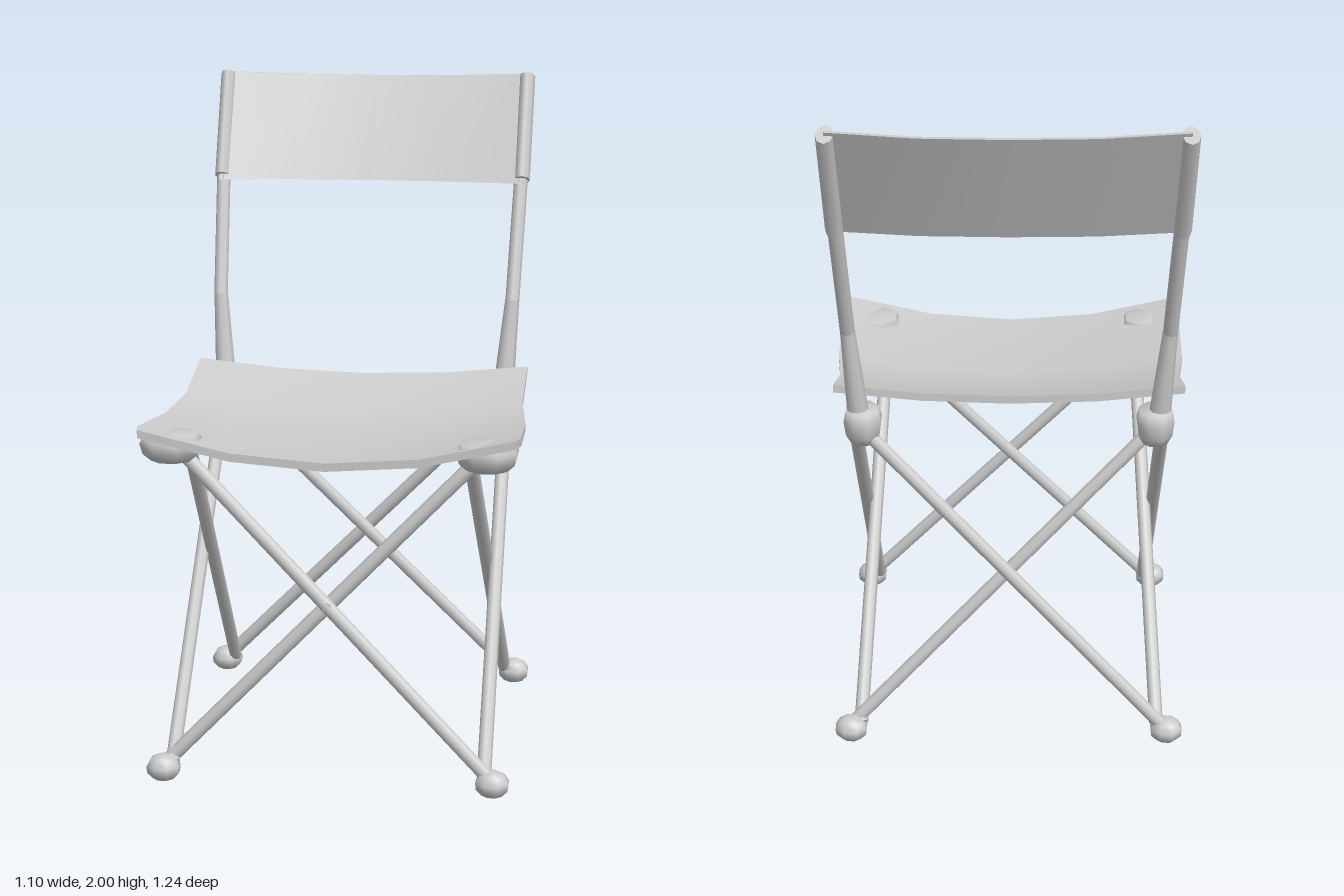
import * as THREE from 'three';

const material = new THREE.MeshStandardMaterial({ color: 0xcccccc, side: THREE.DoubleSide });
const V = (x, y, z) => new THREE.Vector3(x, y, z);

function add(parent, name, geometry) {
  const mesh = new THREE.Mesh(geometry, material);
  mesh.name = name;
  parent.add(mesh);
  return mesh;
}

// straight round tube between two points
function rod(parent, name, a, b, r0 = 0.021, r1 = r0) {
  const dir = b.clone().sub(a);
  const mesh = add(parent, name, new THREE.CylinderGeometry(r1, r0, dir.length(), 8));
  mesh.position.copy(a).add(b).multiplyScalar(0.5);
  mesh.quaternion.setFromUnitVectors(V(0, 1, 0), dir.normalize());
  return mesh;
}

// low-poly rounded lump, optionally flattened; profile is [radius, height] pairs
function lump(parent, name, center, size, profile) {
  const points = profile.map(([r, y]) => new THREE.Vector2(r, y));
  const mesh = add(parent, name, new THREE.LatheGeometry(points, 8, Math.PI / 8));
  mesh.scale.set(...size);
  mesh.position.copy(center);
  return mesh;
}

// box whose vertices are moved by a rule
function warpedBox(parent, name, segments, rule) {
  const geometry = new THREE.BoxGeometry(2, 2, 2, ...segments);
  const p = geometry.attributes.position;
  for (let i = 0; i < p.count; i++) p.setXYZ(i, ...rule(p.getX(i), p.getY(i), p.getZ(i)));
  geometry.computeVertexNormals();
  return add(parent, name, geometry);
}

const footProfile = [[0, -1], [0.6, -0.95], [0.95, -0.45], [1, 0.1], [0.75, 0.7], [0.35, 1], [0, 1]];
const jointProfile = [[0, -1], [0.65, -1], [0.9, -0.5], [1, 0.3], [0.85, 0.9], [0, 1]];

export function createModel() {
  const group = new THREE.Group();

  // sagging seat: rows run from back to front as [z, half width, edge y, centre y]
  const rows = [
    [-0.23, 0.523, 1.095, 1.06],
    [0, 0.522, 1.03, 0.985],
    [0.2, 0.543, 1.01, 0.957],
    [0.54, 0.55, 1.045, 0.967],
    [0.61, 0.535, 1.05, 0.97],
  ];
  warpedBox(group, 'seat', [4, 1, 4], (x, y, z) => {
    const [rz, half, edge, mid] = rows[Math.round((z + 1) * 2)];
    return [x * half, mid + (edge - mid) * x * x + y * 0.012, rz];
  });

  // bowed fabric of the backrest
  warpedBox(group, 'backrest', [4, 1, 1], (x, y, z) => {
    const t = (y + 1) / 2, bow = 1 - Math.abs(x) ** 2.5;
    return [
      x * 0.49,
      1.66 + t * (0.335 - 0.01 * bow),
      -0.42 - 0.165 * t - bow * (0.045 - 0.015 * t) + z * 0.009,
    ];
  });

  for (const s of [-1, 1]) {
    const side = s > 0 ? 'left' : 'right';
    const P = (x, y, z) => V(s * x, y, z);

    // feet
    lump(group, side + 'FrontFoot', P(0.485, 0.037, 0.575), [0.052, 0.037, 0.047], footProfile);
    lump(group, side + 'RearFoot', P(0.485, 0.037, -0.418), [0.052, 0.037, 0.047], footProfile);

    // corner joints under the seat
    lump(group, side + 'FrontJoint', P(0.455, 0.998, 0.52), [0.094, 0.04, 0.094], jointProfile);
    lump(group, side + 'RearJoint', P(0.435, 0.995, -0.258), [0.06, 0.055, 0.07], jointProfile);

    // crossed legs along the side
    rod(group, side + 'SideLegOuter', P(0.46, 0.05, 0.56), P(0.455, 0.97, -0.265));
    rod(group, side + 'SideLegInner', P(0.455, 0.05, -0.405), P(0.405, 0.98, 0.495));

    // crossed legs at front and back, each rising to the opposite side
    const z = s * 0.012;
    rod(group, side + 'FrontCrossLeg', P(0.475, 0.05, 0.56 + z), P(-0.43, 0.98, 0.495 + z));
    rod(group, side + 'RearCrossLeg', P(0.475, 0.05, -0.41 + z), P(-0.42, 0.97, -0.265 + z));

    // bent post and the fabric sleeve around its top
    rod(group, side + 'PostLower', P(0.445, 1.0, -0.26), P(0.468, 1.31, -0.303), 0.034, 0.022);
    rod(group, side + 'PostUpper', P(0.468, 1.3, -0.3), P(0.482, 1.7, -0.45), 0.022);
    const sleeve = rod(group, side + 'Sleeve', P(0.484, 1.67, -0.437), P(0.488, 1.987, -0.585), 0.037);
    sleeve.scale.x = 0.68;
  }

  // small pivots where the crossed legs meet
  rod(group, 'frontPivot', V(0, 0.54, 0.5), V(0, 0.54, 0.555), 0.014);
  rod(group, 'rearPivot', V(0, 0.54, -0.36), V(0, 0.54, -0.31), 0.014);

  return group;
}
